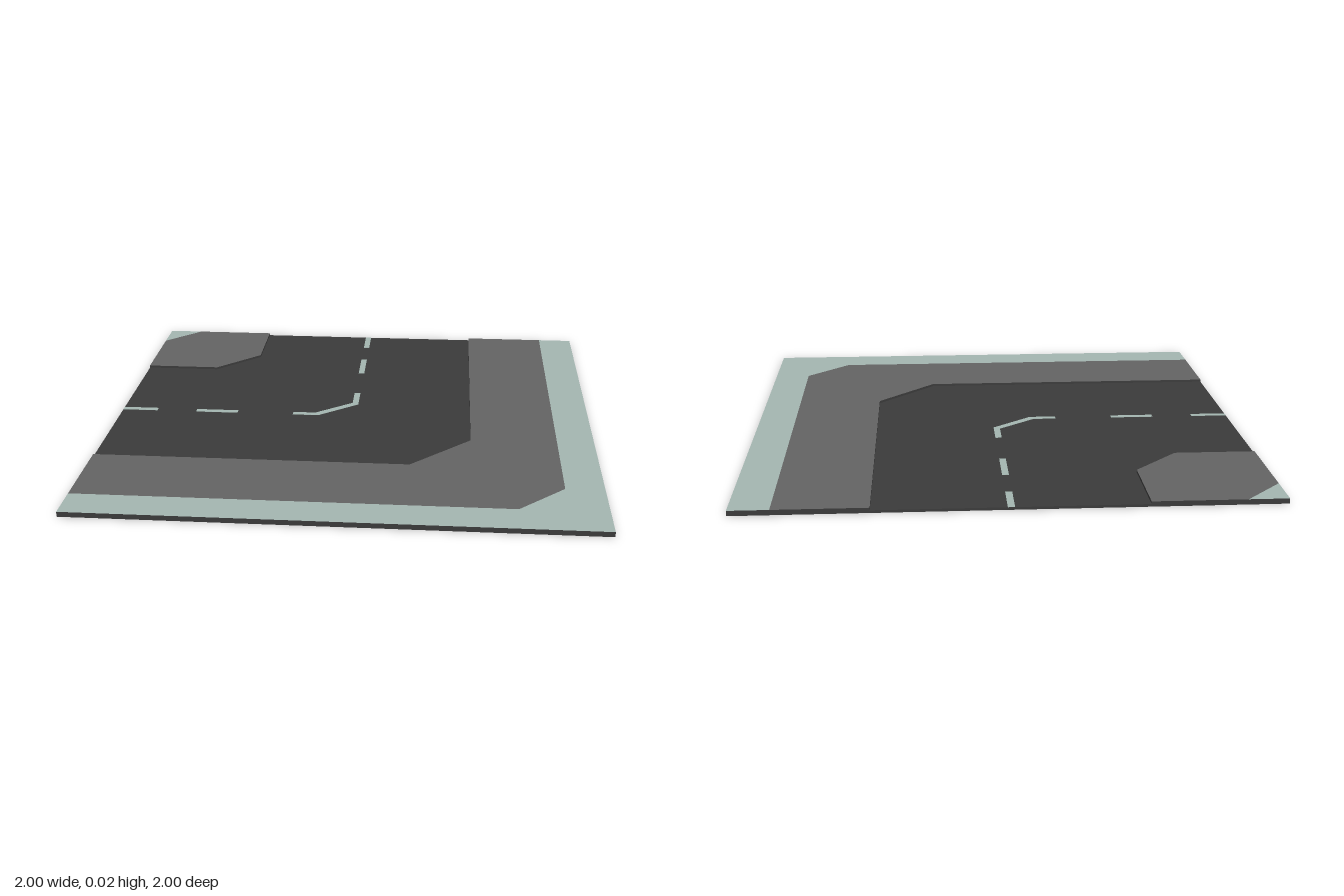
import * as THREE from 'three';

const ROAD_Y = 0.01, TOP_Y = 0.02;
const material = (color) => new THREE.MeshStandardMaterial({ color });
const asphalt = material(0x3b3b3b);
const paving = material(0x636363);
const grass = material(0xa3b5b0);

// Flat plate from an outline of [x, z] points, with its own colour on top
function plate(name, points, bottom, top, topMaterial, sideMaterial) {
  const shape = new THREE.Shape(points.map(([x, z]) => new THREE.Vector2(x, -z)));
  const geometry = new THREE.ExtrudeGeometry(shape, { depth: top - bottom, bevelEnabled: false });
  geometry.rotateX(-Math.PI / 2).translate(0, bottom, 0);
  const mesh = new THREE.Mesh(geometry, [topMaterial, sideMaterial]);
  mesh.name = name;
  return mesh;
}

export function createModel() {
  const tile = new THREE.Group();
  tile.name = 'roadCornerTile';

  // Road slab
  tile.add(plate('road', [[-1, -1], [1, -1], [1, 1], [-1, 1]], 0, ROAD_Y, asphalt, asphalt));

  // Raised pavements and verges, with dark kerb sides
  const raised = (name, points, top) => tile.add(plate(name, points, ROAD_Y, TOP_Y, top, asphalt));
  raised('outerPavement', [
    [0.5, -1], [0.85, -1], [0.85, 0.67], [0.67, 0.85], [-1, 0.85],
    [-1, 0.5], [0.26, 0.5], [0.5, 0.25],
  ], paving);
  raised('outerVerge', [
    [0.85, -1], [1, -1], [1, 1], [-1, 1], [-1, 0.85], [0.67, 0.85], [0.85, 0.67],
  ], grass);
  raised('innerPavement', [
    [-0.85, -1], [-0.5, -1], [-0.5, -0.68], [-0.68, -0.5], [-1, -0.5], [-1, -0.85],
  ], paving);
  raised('innerVerge', [[-1, -1], [-0.85, -1], [-1, -0.85]], grass);

  // Painted centre line: straight dashes on both arms and one bent dash
  const paint = (name, points) =>
    tile.add(plate(name, points, ROAD_Y, ROAD_Y + 0.001, grass, grass));
  const w = 0.013;
  for (const [a, b] of [[-1, -0.85], [-0.68, -0.5]]) {
    paint('backDash', [[-w, a], [w, a], [w, b], [-w, b]]);
    paint('sideDash', [[a, -w], [b, -w], [b, w], [a, w]]);
  }
  paint('cornerDash', [
    [-w, -0.25], [w, -0.25], [w, -0.12], [-0.15, w],
    [-0.26, w], [-0.26, -w], [-0.165, -w], [-w, -0.135],
  ]);

  return tile;
}
